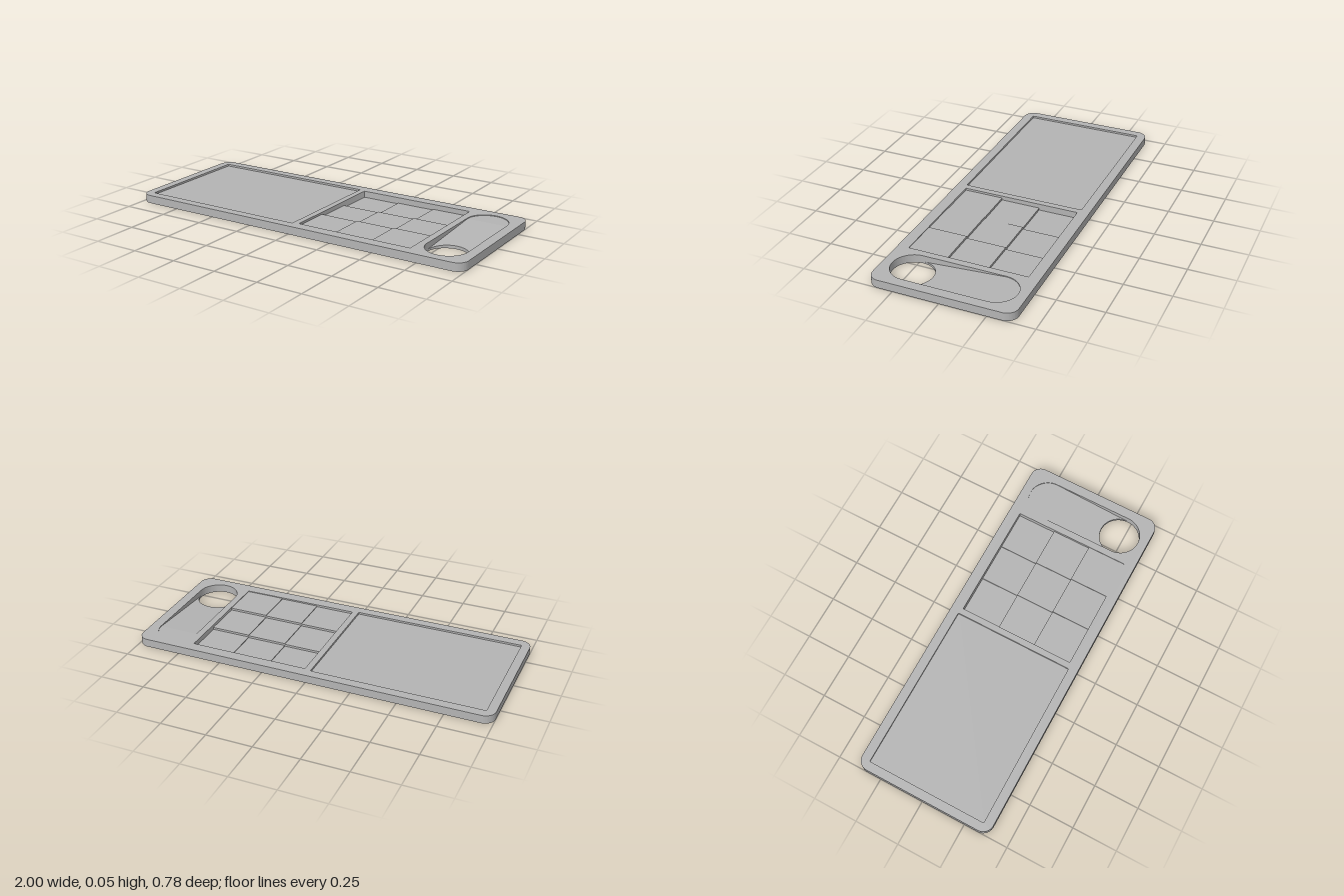
import * as THREE from 'three';
import { toCreasedNormals } from 'three/addons/utils/BufferGeometryUtils.js';

const H = 0.045;                                   // plate thickness
const STEP = 0.004;                                // height of one grid step
const PANEL = { x0: -0.952, x1: -0.008, z: 0.339 };
const GRID = { x0: 0.027, x1: 0.684, z: 0.3285 };
const SLOT = { x: 0.834, r: 0.112, z: 0.227 };

export function createModel() {
  const group = new THREE.Group();
  const grey = new THREE.MeshStandardMaterial({ color: 0xb4b4b4 });
  grey.name = 'plainGrey';

  // Rectangle with rounded corners, centred on z = 0
  const roundedRect = (x0, x1, z, r) => {
    const s = new THREE.Shape();
    s.absarc(x1 - r, z - r, r, 0, Math.PI / 2);
    s.absarc(x0 + r, z - r, r, Math.PI / 2, Math.PI);
    s.absarc(x0 + r, -z + r, r, Math.PI, Math.PI * 1.5);
    s.absarc(x1 - r, -z + r, r, Math.PI * 1.5, Math.PI * 2);
    s.closePath();
    return s;
  };

  // Extrude a plan shape (shape y = -z) upwards from the ground
  const slab = (shape, height) =>
    new THREE.ExtrudeGeometry(shape, { depth: height, bevelEnabled: false, curveSegments: 24 })
      .rotateX(-Math.PI / 2);

  const add = (name, geometry) => {
    const mesh = new THREE.Mesh(toCreasedNormals(geometry, 0.6), grey);
    mesh.name = name;
    group.add(mesh);
  };

  // Frame with three openings
  const frame = roundedRect(-1, 1, 0.39, 0.06);
  frame.holes.push(
    roundedRect(PANEL.x0, PANEL.x1, PANEL.z, 0.006),
    roundedRect(GRID.x0, GRID.x1, GRID.z, 0.003),
    roundedRect(SLOT.x - SLOT.r, SLOT.x + SLOT.r, SLOT.z + SLOT.r, SLOT.r),
  );
  add('frame', slab(frame, H));

  // Floor of the large shallow recess
  add('panelFloor', slab(roundedRect(PANEL.x0, PANEL.x1, PANEL.z, 0.006), H - 0.011));

  // Nine square floors, each one step higher than the last
  const w = (GRID.x1 - GRID.x0) / 3;
  const d = GRID.z * 2 / 3;
  for (let k = 0; k < 9; k++) {
    const h = H - (9 - k) * STEP;
    const box = new THREE.BoxGeometry(w, h, d);
    box.translate(GRID.x0 + (k % 3 + 0.5) * w, h / 2, -GRID.z + (Math.floor(k / 3) + 0.5) * d);
    add('gridFloor' + (k + 1), box);
  }

  // Shallow half-round end of the slot
  const end = new THREE.Shape();
  end.absarc(SLOT.x, SLOT.z, SLOT.r, 0, Math.PI);
  end.closePath();
  add('slotEnd', slab(end, H - STEP));

  // Ramp sloping down to the round through-hole
  const ramp = new THREE.Shape();
  ramp.moveTo(SLOT.x + SLOT.r, SLOT.z);
  ramp.lineTo(SLOT.x - SLOT.r, SLOT.z);
  ramp.absarc(SLOT.x, -SLOT.z, SLOT.r, Math.PI, 0, true);
  ramp.closePath();
  const rampGeometry = slab(ramp, H);
  const p = rampGeometry.attributes.position;
  for (let i = 0; i < p.count; i++) {
    if (p.getY(i) > H / 2) p.setY(i, H - STEP - (p.getZ(i) + SLOT.z) * 0.07);
  }
  add('slotRamp', rampGeometry);

  return group;
}
